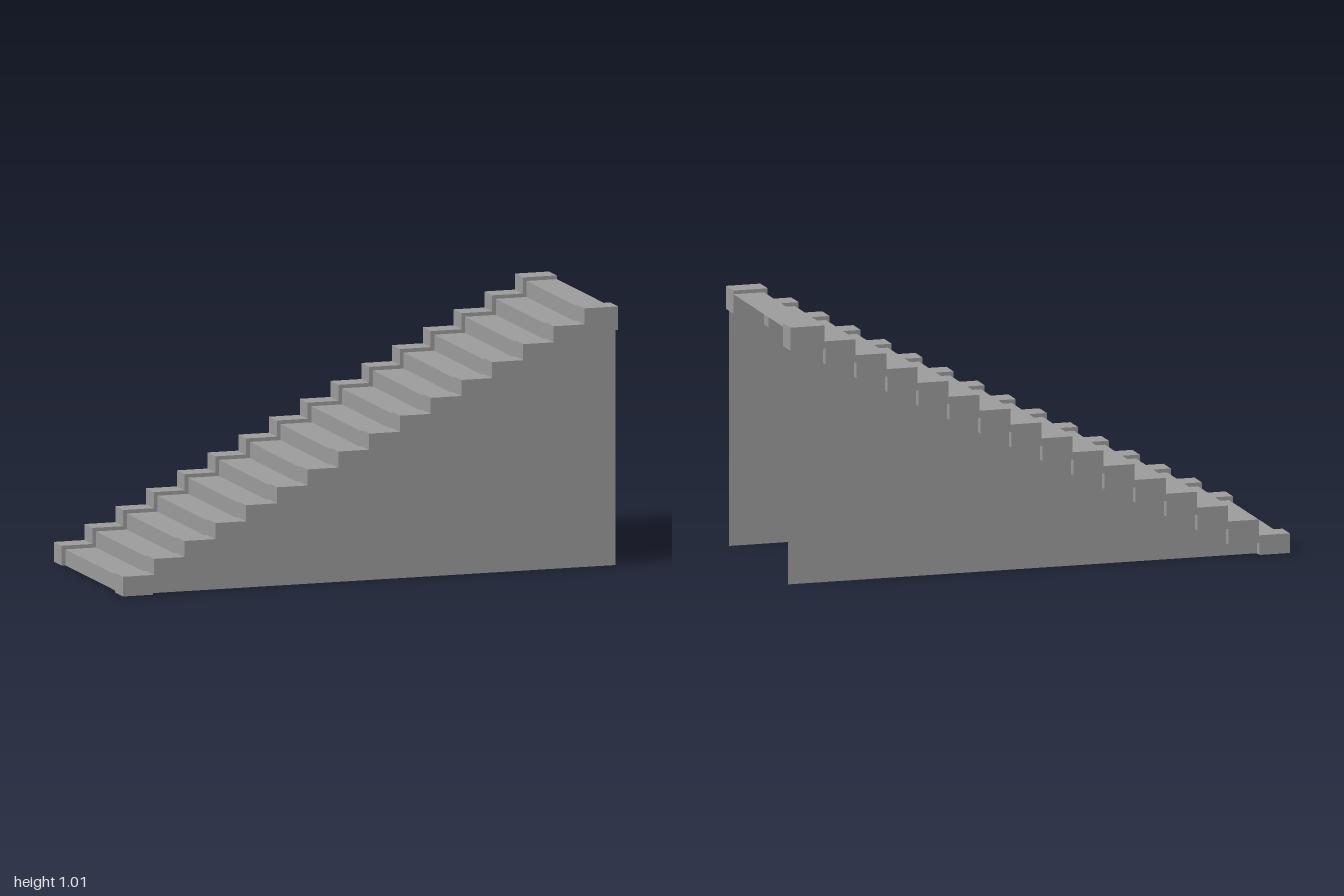
import * as THREE from 'three';

const STEPS = 16;
const RUN = 0.1242;
const RISE = 0.0621;
const END = 1; // x of the upper end
const INNER = 0.312, OUTER = 0.403, PANEL = 0.37; // z offsets of the side parts

// Zigzag profile: rises first, then runs, finishing level at the upper end
function zigzag(x, firstY, count) {
  const points = [new THREE.Vector2(x, 0)];
  for (let k = 0; k < count; k++) {
    const y = firstY + k * RISE;
    points.push(new THREE.Vector2(x + k * RUN, y));
    points.push(new THREE.Vector2(k === count - 1 ? END : x + (k + 1) * RUN, y));
  }
  return points;
}

// Folded sheet spanning the width, one flat quad per profile segment
function foldedSheet(profile, halfWidth) {
  const pos = [];
  for (let i = 0; i < profile.length - 1; i++) {
    const p = profile[i], q = profile[i + 1];
    const a = [p.x, p.y, halfWidth], b = [p.x, p.y, -halfWidth];
    const c = [q.x, q.y, -halfWidth], d = [q.x, q.y, halfWidth];
    pos.push(...a, ...d, ...c, ...a, ...c, ...b);
  }
  const geometry = new THREE.BufferGeometry();
  geometry.setAttribute('position', new THREE.Float32BufferAttribute(pos, 3));
  geometry.computeVertexNormals();
  return geometry;
}

export function createModel() {
  const group = new THREE.Group();
  group.name = 'staircase';
  const solid = new THREE.MeshStandardMaterial({ color: 0x9b9b9b, flatShading: true });
  const sheet = new THREE.MeshStandardMaterial({ color: 0x9b9b9b, flatShading: true, side: THREE.DoubleSide });

  const add = (name, geometry, material, z = 0) => {
    const mesh = new THREE.Mesh(geometry, material);
    mesh.name = name;
    mesh.position.z = z;
    group.add(mesh);
  };

  // Treads and risers: a thin folded sheet, open underneath
  add('treads', foldedSheet(zigzag(-0.985, 0.0621, STEPS), INNER), sheet);

  // Stepped curb outline: upper zigzag, then back along the lower one
  const upper = zigzag(-1, 0.0765, STEPS);
  const lower = zigzag(-0.879, 0.048, STEPS - 1);
  const curb = new THREE.ExtrudeGeometry(
    new THREE.Shape([...upper, ...[...lower].reverse()]),
    { depth: OUTER - INNER, bevelEnabled: false }
  );

  // Thin side wall filling the space below the curb
  const wall = new THREE.ShapeGeometry(new THREE.Shape([...lower, new THREE.Vector2(END, 0)]));

  add('leftCurb', curb, solid, INNER);
  add('rightCurb', curb, solid, -OUTER);
  add('leftWall', wall, sheet, PANEL);
  add('rightWall', wall, sheet, -PANEL);

  return group;
}
